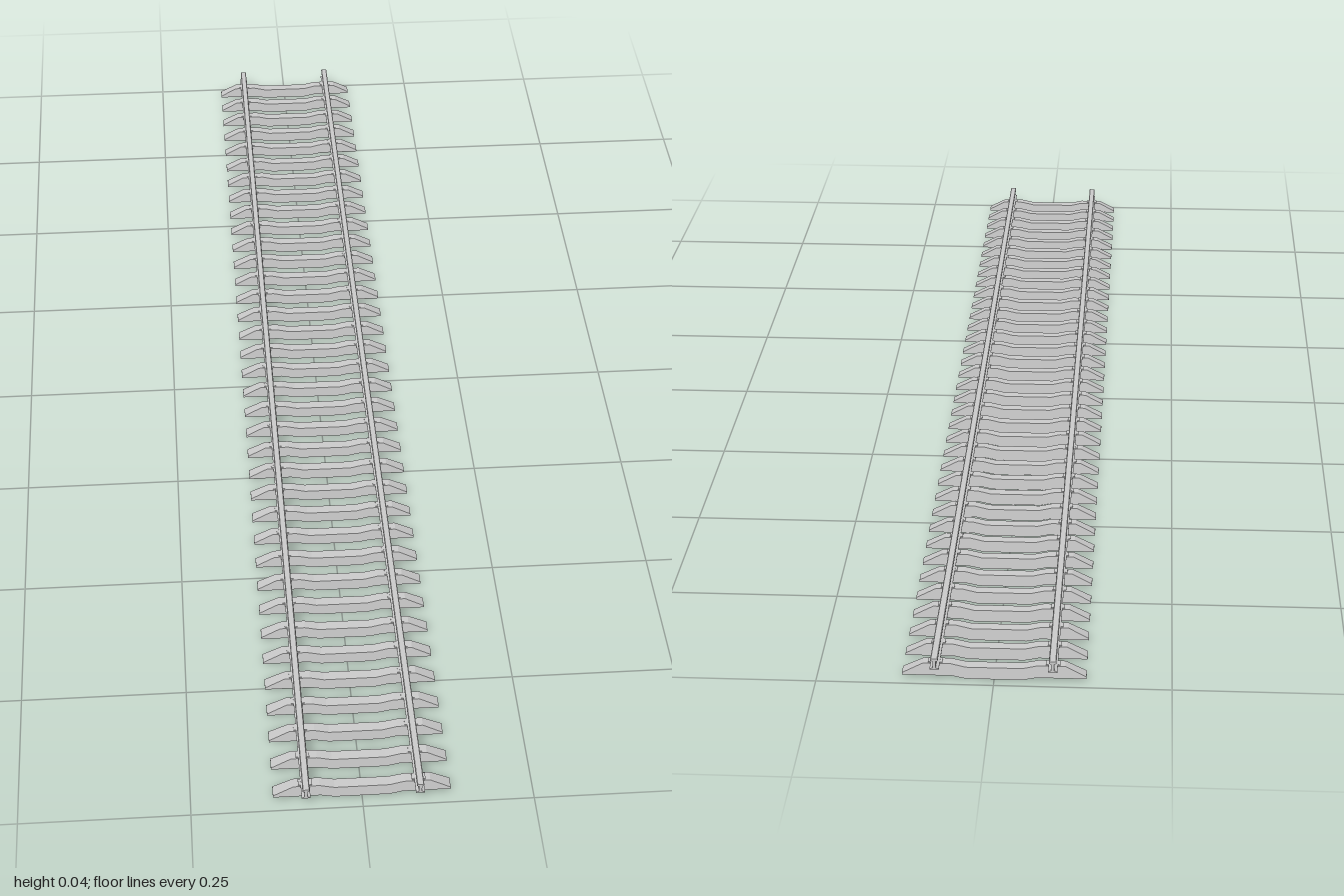
import * as THREE from 'three';

const COUNT = 36, FIRST_Z = -0.973, LAST_Z = 0.968, RAIL_X = 0.083;

// Shape symmetric about x = 0 from its right half, listed bottom to top
function mirroredShape(half) {
  const left = half.map(([x, y]) => [-x, y]).reverse();
  return new THREE.Shape([...half, ...left].map(([x, y]) => new THREE.Vector2(x, y)));
}

// Extrusion along z, centred on z = 0
function extrude(shape, depth) {
  const g = new THREE.ExtrudeGeometry(shape, { depth, bevelEnabled: false });
  return g.translate(0, 0, -depth / 2);
}

export function createModel() {
  const track = new THREE.Group();
  track.name = 'railwayTrack';
  const material = new THREE.MeshStandardMaterial({ color: 0xcccccc, flatShading: true });

  // Concrete sleeper: dipped middle, raised rail seats, sloping ends
  const sleeperGeo = extrude(mirroredShape([
    [0.04, 0.001], [0.06, 0.005], [0.13, 0.005], [0.13, 0.008],
    [0.1, 0.0235], [0.062, 0.0235], [0.04, 0.0185],
  ]), 0.02);
  sleeperGeo.translate(0, -0.001, 0);
  // Sides lean inwards towards the top
  const p = sleeperGeo.attributes.position;
  for (let i = 0; i < p.count; i++) p.setZ(i, p.getZ(i) * (1 - 9 * p.getY(i)));
  sleeperGeo.computeVertexNormals();

  const plateGeo = new THREE.BoxGeometry(0.02, 0.0015, 0.012);

  for (let i = 0; i < COUNT; i++) {
    const tie = new THREE.Group();
    tie.name = `sleeper${i + 1}`;
    tie.position.z = THREE.MathUtils.lerp(FIRST_Z, LAST_Z, i / (COUNT - 1));
    const body = new THREE.Mesh(sleeperGeo, material);
    body.name = 'sleeperBody';
    tie.add(body);
    // Rail seat plates
    for (const side of [-1, 1]) {
      const plate = new THREE.Mesh(plateGeo, material);
      plate.name = side > 0 ? 'leftSeatPlate' : 'rightSeatPlate';
      plate.position.set(side * RAIL_X, 0.0231, 0);
      tie.add(plate);
    }
    track.add(tie);
  }

  // Rails: foot, web and head in one profile
  const railGeo = extrude(mirroredShape([
    [0.0065, 0], [0.0065, 0.0012], [0.0022, 0.003], [0.0022, 0.0128],
    [0.0052, 0.014], [0.0052, 0.0162], [0.0042, 0.017],
  ]), 2);
  for (const side of [-1, 1]) {
    const rail = new THREE.Mesh(railGeo, material);
    rail.name = side > 0 ? 'leftRail' : 'rightRail';
    rail.position.set(side * RAIL_X, 0.023, 0);
    track.add(rail);
  }
  return track;
}
